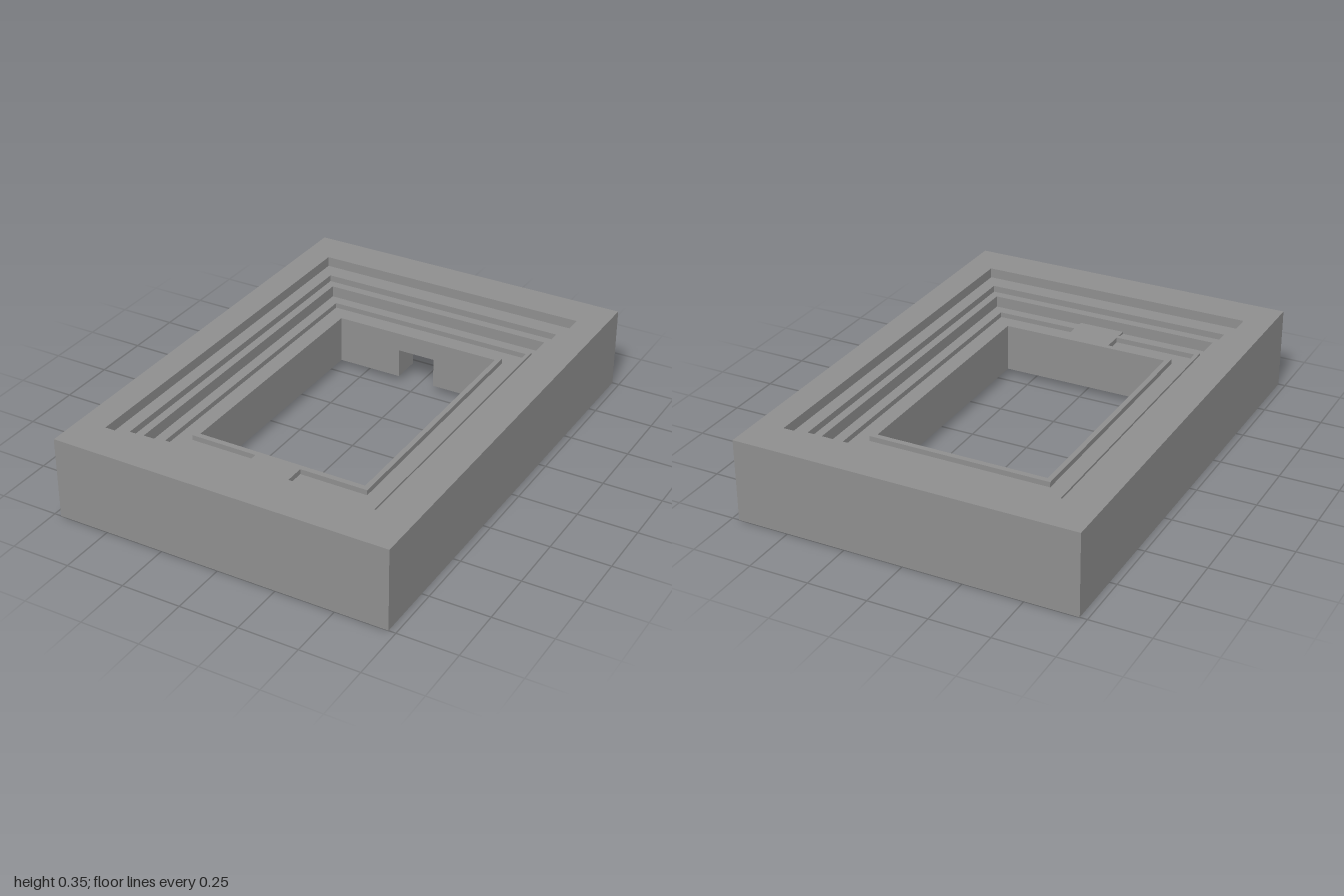
import * as THREE from 'three';

const material = new THREE.MeshStandardMaterial({ color: 0x8e8e8e, flatShading: true, side: THREE.DoubleSide });

// Four corners of a level rectangle, counter-clockwise from above
const corners = ([hx, hz, y]) => [[hx, y, hz], [hx, y, -hz], [-hx, y, -hz], [-hx, y, hz]];
const quad = (a, b, c, d) => [...a, ...b, ...c, ...a, ...c, ...d];

function named(name, geo, x = 0, y = 0, z = 0) {
  const mesh = new THREE.Mesh(geo, material);
  mesh.name = name;
  mesh.position.set(x, y, z);
  return mesh;
}

function surface(name, pos) {
  const geo = new THREE.BufferGeometry();
  geo.setAttribute('position', new THREE.Float32BufferAttribute(pos, 3));
  geo.computeVertexNormals();
  return named(name, geo);
}

// Surface lofted through nested rectangles; skip leaves out one side (1 = back)
function loft(name, rings, skip = -1) {
  const pos = [];
  for (let r = 0; r + 1 < rings.length; r++) {
    const a = corners(rings[r]), b = corners(rings[r + 1]);
    for (let i = 0; i < 4; i++) {
      const j = (i + 1) % 4;
      if (i !== skip) pos.push(...quad(a[i], a[j], b[j], b[i]));
    }
  }
  return surface(name, pos);
}

export function createModel() {
  const group = new THREE.Group();
  group.name = 'steppedFrame';

  const lip = 0.237, foot = 0.03;                // lip and inner wall foot heights
  const outerFloor = 0.228, innerFloor = 0.215;  // groove floors
  const gapW = 0.083, gapTop = 0.157;            // cable gap in the back wall
  const innerX = 0.368, innerZ = 0.546;

  // Outer wall, rim and the two steps
  group.add(loft('outerFrame', [
    [0.72, 1, 0], [0.72, 1, 0.348],
    [0.602, 0.835, 0.348], [0.602, 0.835, 0.305],
    [0.547, 0.758, 0.305], [0.547, 0.758, 0.277],
    [0.512, 0.718, 0.277],
  ]));

  // Two grooves with a thin ridge between them, ending in the inner lip
  group.add(loft('sealGrooves', [
    [0.512, 0.718, 0.277], [0.512, 0.718, outerFloor],
    [0.475, 0.675, outerFloor], [0.475, 0.675, lip],
    [0.458, 0.655, lip], [0.458, 0.655, innerFloor],
    [0.39, 0.57, innerFloor], [0.39, 0.57, lip],
    [innerX, innerZ, lip],
  ]));

  // Inner wall around the window; the back side has a gap
  group.add(loft('innerWall', [[innerX, innerZ, lip], [innerX, innerZ, foot]], 1));
  const back = new THREE.Shape([
    [-innerX, foot], [-gapW, foot], [-gapW, gapTop], [gapW, gapTop],
    [gapW, foot], [innerX, foot], [innerX, lip], [-innerX, lip],
  ].map(([x, y]) => new THREE.Vector2(x, y)));
  group.add(named('innerBackWall', new THREE.ShapeGeometry(back), 0, 0, -innerZ));

  // Channel behind the gap: straight, then flaring towards the back
  const path = [[gapW, -innerZ], [gapW, -0.675], [0.198, -0.853]];
  for (let i = 0; i < 2; i++) {
    const [x0, z0] = path[i], [x1, z1] = path[i + 1];
    for (const s of [-1, 1]) {
      group.add(surface('channelSide', quad(
        [s * x0, foot, z0], [s * x1, foot, z1], [s * x1, gapTop, z1], [s * x0, gapTop, z0])));
    }
    group.add(surface('channelRoof', quad(
      [-x0, gapTop, z0], [-x1, gapTop, z1], [x1, gapTop, z1], [x0, gapTop, z0])));
  }

  // Bridge filling both grooves at the front
  for (const [z0, z1, floor] of [[0.57, 0.655, innerFloor], [0.675, 0.718, outerFloor]]) {
    const block = new THREE.BoxGeometry(0.2, lip - floor, z1 - z0);
    group.add(named('grooveBridge', block, 0, (lip + floor) / 2, (z0 + z1) / 2));
  }
  return group;
}
